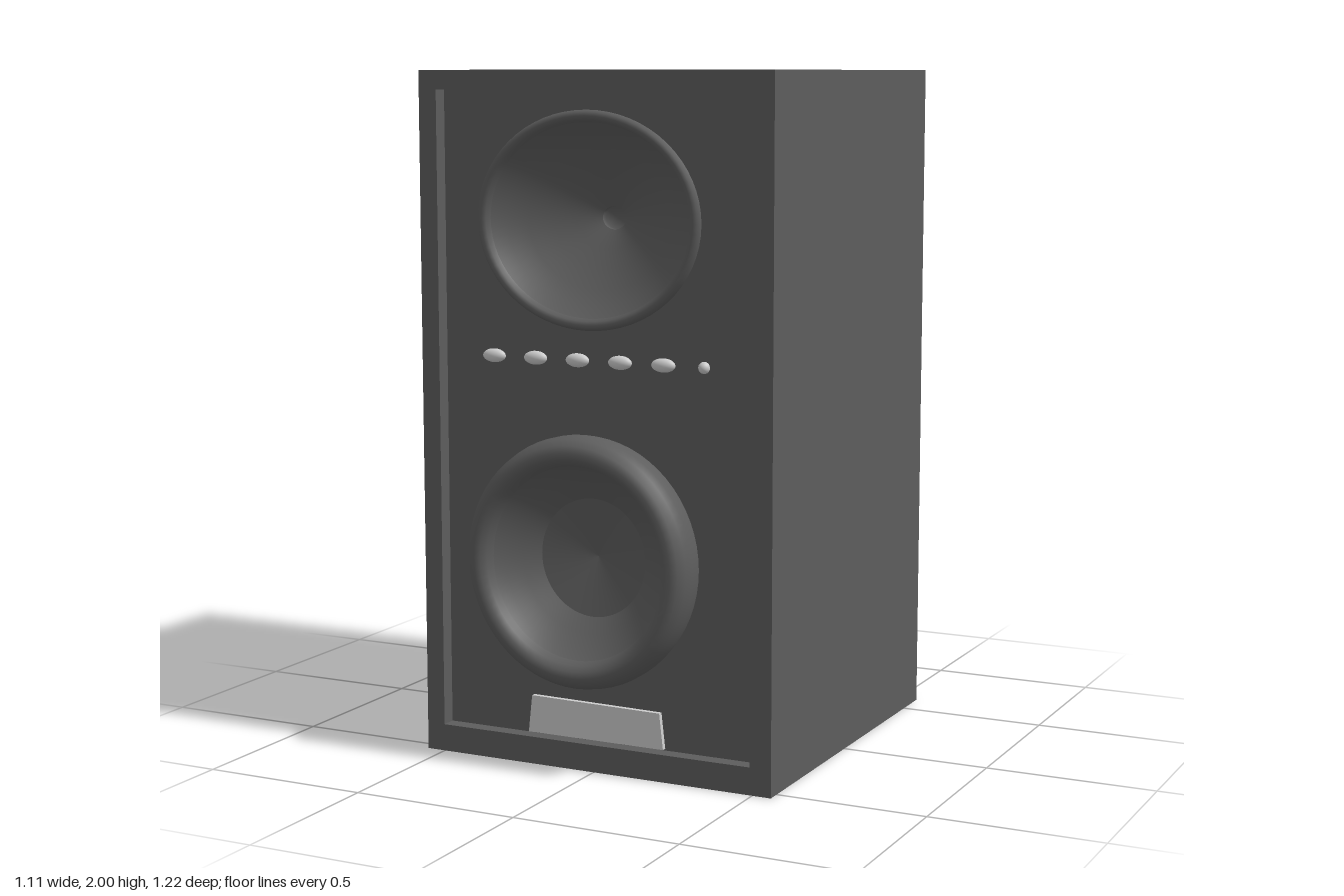
import * as THREE from 'three';

const dark = new THREE.MeshStandardMaterial({ color: 0x5d5d5d, side: THREE.DoubleSide });
const light = new THREE.MeshStandardMaterial({ color: 0xcccccc });
const CX = -0.035; // shared centre line of the drivers
const HORN_Y = 1.58, WOOFER_Y = 0.612;

function add(parent, name, geometry, material, x = 0, y = 0, z = 0) {
  const mesh = new THREE.Mesh(geometry, material);
  mesh.name = name;
  mesh.position.set(x, y, z);
  parent.add(mesh);
  return mesh;
}

// Rectangle outline, counter-clockwise
function trace(path, x0, y0, x1, y1) {
  path.moveTo(x0, y0);
  path.lineTo(x1, y0);
  path.lineTo(x1, y1);
  path.lineTo(x0, y1);
  path.closePath();
  return path;
}

function ellipseHole(x, y, rx, ry) {
  const hole = new THREE.Path();
  hole.absellipse(x, y, rx, ry, 0, Math.PI * 2, true);
  return hole;
}

const extrude = (shape, depth) =>
  new THREE.ExtrudeGeometry(shape, { depth, bevelEnabled: false, curveSegments: 48 });

// Revolved part facing +z; profile is [radius, z] from the outside in
function revolve(parent, name, profile, y, stretchY) {
  const points = profile.map(([r, z]) => new THREE.Vector2(r, z));
  const mesh = add(parent, name, new THREE.LatheGeometry(points, 64), dark, CX, y, 0);
  mesh.rotation.x = Math.PI / 2;
  mesh.scale.z = stretchY;
}

export function createModel() {
  const speaker = new THREE.Group();
  speaker.name = 'speaker';

  // Cabinet shell, open front and back
  const shell = trace(new THREE.Shape(), -0.557, 0, 0.557, 2);
  shell.holes.push(trace(new THREE.Path(), -0.5, 0.08, 0.492, 1.945));
  add(speaker, 'cabinet', extrude(shell, 1.152), dark, 0, 0, -0.612);

  // Recessed front baffle with driver cut-outs, and recessed back panel
  const baffle = trace(new THREE.Shape(), -0.5, 0.08, 0.492, 1.945);
  baffle.holes.push(ellipseHole(CX, HORN_Y, 0.335, 0.29), ellipseHole(CX, WOOFER_Y, 0.32, 0.32));
  add(speaker, 'baffle', extrude(baffle, 0.02), dark, 0, 0, 0.475);
  add(speaker, 'backPanel', new THREE.BoxGeometry(0.992, 1.865, 0.02), dark, -0.004, 1.0125, -0.59);

  // Upper horn: elliptical rim, flare and throat
  const horn = new THREE.Group();
  horn.name = 'horn';
  speaker.add(horn);
  revolve(horn, 'hornRim', [[0.355, 0.48], [0.355, 0.498], [0.348, 0.508], [0.336, 0.511],
    [0.324, 0.506], [0.316, 0.492]], HORN_Y, 0.873);
  revolve(horn, 'hornFlare', [[0.316, 0.492], [0.28, 0.455], [0.23, 0.422], [0.165, 0.385],
    [0.1, 0.357], [0.038, 0.33]], HORN_Y, 0.873);
  revolve(horn, 'hornThroat', [[0.038, 0.33], [0.038, 0.31], [0, 0.31]], HORN_Y, 0.873);

  // Woofer: rounded surround, cone and dished centre cap
  const woofer = new THREE.Group();
  woofer.name = 'woofer';
  speaker.add(woofer);
  revolve(woofer, 'wooferSurround', [[0.345, 0.48], [0.354, 0.52], [0.355, 0.55], [0.349, 0.58],
    [0.334, 0.602], [0.314, 0.612], [0.296, 0.607], [0.281, 0.593], [0.272, 0.57]], WOOFER_Y, 1.03);
  revolve(woofer, 'wooferCone', [[0.272, 0.57], [0.25, 0.54], [0.21, 0.503], [0.168, 0.47]], WOOFER_Y, 1.03);
  revolve(woofer, 'wooferCap', [[0.168, 0.47], [0.08, 0.452], [0, 0.437]], WOOFER_Y, 1.03);

  // Row of oval buttons with a small round indicator at the end
  for (let i = 0; i < 5; i++) {
    const button = add(speaker, 'button', new THREE.SphereGeometry(1, 24, 16), light, -0.34 + i * 0.136, 1.185, 0.497);
    button.scale.set(0.037, 0.02, 0.018);
  }
  add(speaker, 'indicator', new THREE.SphereGeometry(0.017, 20, 14), light, 0.33, 1.185, 0.497);

  // Blank plate, slightly wider at its foot
  const plate = new THREE.Shape();
  plate.moveTo(-0.23, 0.085);
  plate.lineTo(0.208, 0.085);
  plate.lineTo(0.196, 0.19);
  plate.lineTo(-0.218, 0.195);
  plate.closePath();
  add(speaker, 'plate', extrude(plate, 0.02), light, 0, 0, 0.49);

  return speaker;
}
